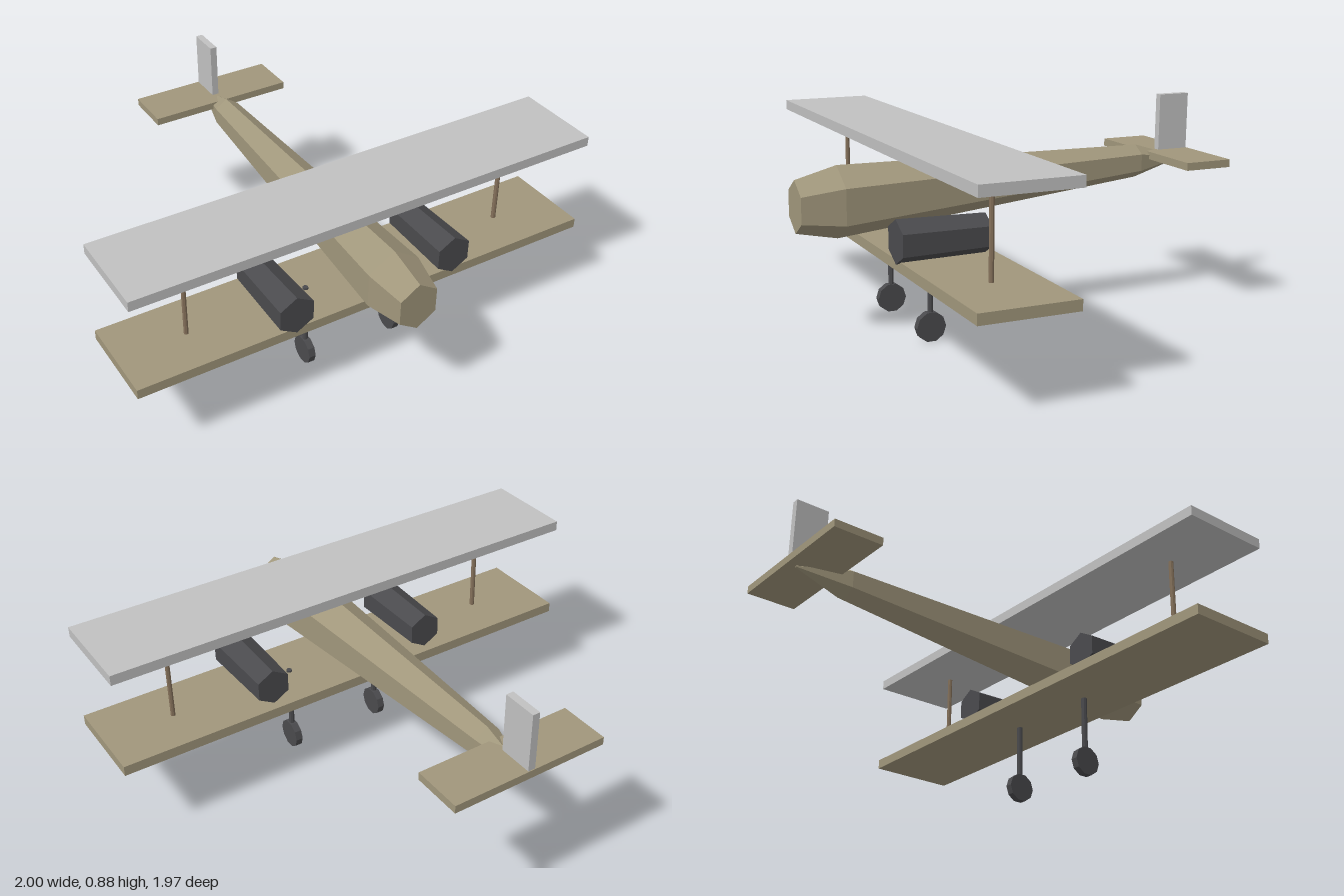
import * as THREE from 'three';

const mat = (name, color) => {
  const m = new THREE.MeshStandardMaterial({ color, flatShading: true });
  m.name = name;
  return m;
};

export function createModel() {
  const tan = mat('tan', 0xa0967b);
  const silver = mat('silver', 0xc0c0c0);
  const dark = mat('charcoal', 0x4a4a4d);
  const brown = mat('wood brown', 0x84705a);

  // Plane is built nose toward local +z, then turned to its heading
  const plane = new THREE.Group();
  plane.name = 'biplane';
  plane.rotation.y = THREE.MathUtils.degToRad(55);
  plane.position.set(0.243, 0, 0.02);

  const add = (name, geo, material, x, y, z) => {
    const mesh = new THREE.Mesh(geo, material);
    mesh.name = name;
    mesh.position.set(x, y, z);
    plane.add(mesh);
    return mesh;
  };
  const box = (name, material, w, h, d, y, z) =>
    add(name, new THREE.BoxGeometry(w, h, d), material, 0, y, z);

  // Wings and tail surfaces
  box('upperWing', silver, 2.075, 0.042, 0.385, 0.777, 0);
  box('lowerWing', tan, 2.075, 0.042, 0.385, 0.361, 0);
  box('tailplane', tan, 0.65, 0.032, 0.207, 0.626, -1.187);
  box('tailFin', silver, 0.03, 0.25, 0.14, 0.755, -1.217);

  add('fuselage', fuselageGeometry(), tan, 0, 0, 0);

  // Mirrored engines, wing struts and landing gear
  for (const [side, s] of [['left', 1], ['right', -1]]) {
    const engine = new THREE.CylinderGeometry(0.085, 0.077, 0.36, 6).rotateX(Math.PI / 2);
    add(side + 'Engine', engine, dark, s * 0.369, 0.458, 0.026);

    add(side + 'WingStrut', new THREE.CylinderGeometry(0.01, 0.01, 0.39, 8), brown, s * 0.742, 0.569, 0);

    add(side + 'GearLeg', new THREE.CylinderGeometry(0.012, 0.012, 0.33, 8), dark, s * 0.21, 0.225, 0.003);
    const wheel = new THREE.CylinderGeometry(0.061, 0.061, 0.03, 10).rotateZ(Math.PI / 2);
    add(side + 'Wheel', wheel, dark, s * 0.21, 0.061, 0.003);
  }

  const model = new THREE.Group();
  model.name = 'model';
  model.add(plane);
  return model;
}

// Six-sided hull from cross-sections, nose to tail: [z, centre y, radius]
function fuselageGeometry() {
  const sections = [
    [0.472, 0.535, 0.105],
    [0.303, 0.54, 0.145],
    [-1.04, 0.6, 0.07],
    [-1.259, 0.6, 0.004],
  ];
  const sides = 6;
  const points = [];
  const index = [];
  for (const [z, y, r] of sections) {
    for (let j = 0; j < sides; j++) {
      const a = Math.PI / 2 + (j / sides) * Math.PI * 2;
      points.push(0.9 * r * Math.cos(a), y + r * Math.sin(a), z);
    }
  }
  for (let i = 0; i < sections.length - 1; i++) {
    for (let j = 0; j < sides; j++) {
      const a = i * sides + j;
      const b = i * sides + ((j + 1) % sides);
      index.push(a, a + sides, b, b, a + sides, b + sides);
    }
  }
  // End caps
  const last = (sections.length - 1) * sides;
  for (let j = 1; j < sides - 1; j++) {
    index.push(0, j, j + 1, last, last + j + 1, last + j);
  }
  const geo = new THREE.BufferGeometry();
  geo.setAttribute('position', new THREE.Float32BufferAttribute(points, 3));
  geo.setIndex(index);
  const flat = geo.toNonIndexed();
  flat.computeVertexNormals();
  return flat;
}
